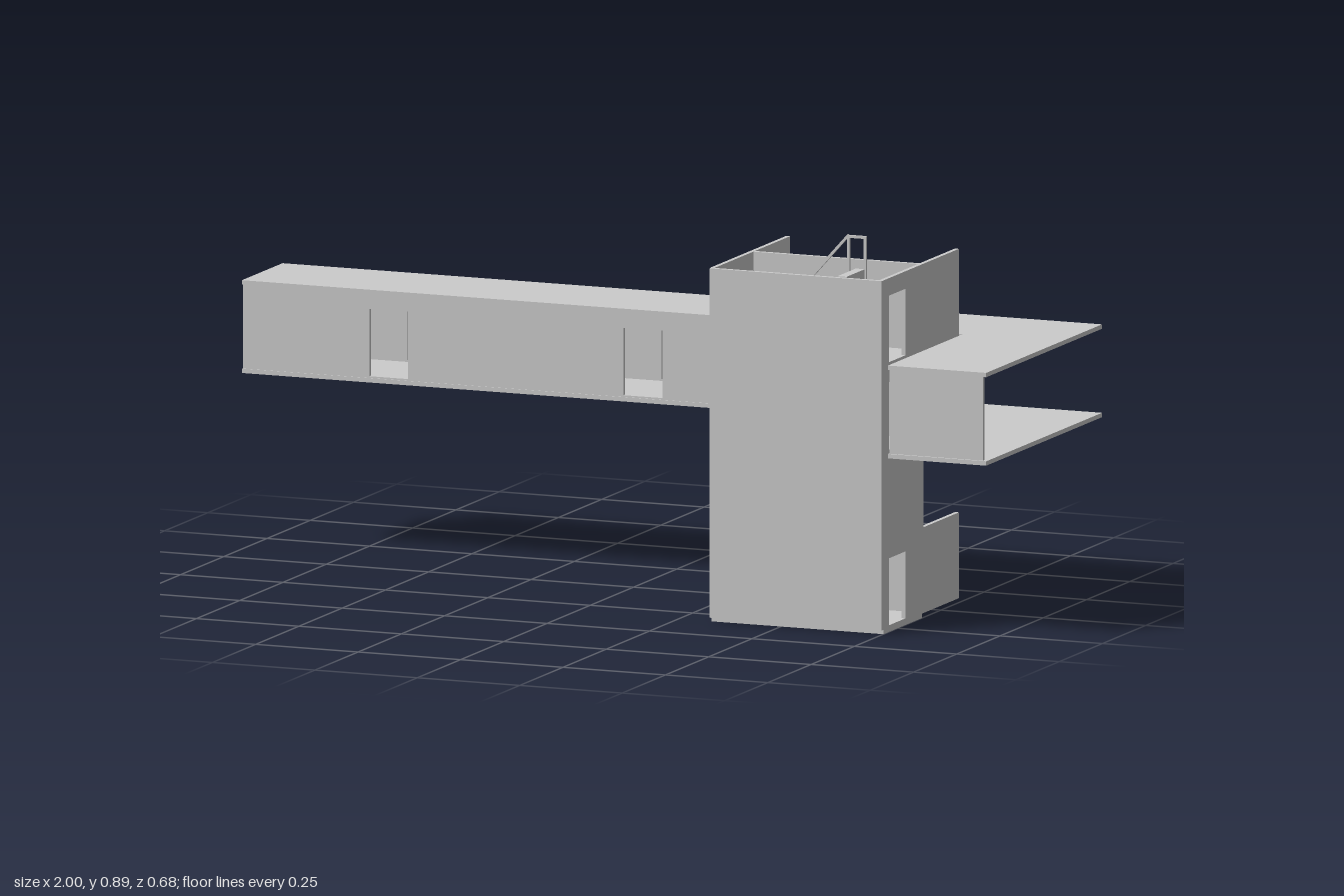
import * as THREE from 'three';

const material = new THREE.MeshStandardMaterial({ color: 0xcccccc, flatShading: true, side: THREE.DoubleSide });
const T = 0.01; // wall thickness

function add(parent, name, geometry) {
  const mesh = new THREE.Mesh(geometry, material);
  mesh.name = name;
  parent.add(mesh);
  return mesh;
}

// Box given by its minimum and maximum on each axis
function block(parent, name, x0, x1, y0, y1, z0, z1) {
  const g = new THREE.BoxGeometry(x1 - x0, y1 - y0, z1 - z0);
  g.translate((x0 + x1) / 2, (y0 + y1) / 2, (z0 + z1) / 2);
  return add(parent, name, g);
}

const rect = (a0, a1, b0, b1) => [[a0, b0], [a1, b0], [a1, b1], [a0, b1]];
const points = (list) => list.map(([a, b]) => new THREE.Vector2(a, b));

// Flat panel from an outline with rectangular holes
function panel(outline, holes = []) {
  const shape = new THREE.Shape(points(outline));
  for (const h of holes) shape.holes.push(new THREE.Path(points(h)));
  return new THREE.ExtrudeGeometry(shape, { depth: T, bevelEnabled: false });
}

// Straight rail between two points
function rail(parent, a, b) {
  const p = new THREE.Vector3(...a), q = new THREE.Vector3(...b);
  const g = new THREE.BoxGeometry(0.006, 0.006, p.distanceTo(q));
  const mesh = add(parent, 'handrail', g);
  mesh.position.copy(p).add(q).multiplyScalar(0.5);
  mesh.lookAt(q);
}

// One flight of solid zigzag steps rising by 0.2 towards +x or -x
function flight(parent, xStart, xEnd, y, z0, z1) {
  const n = 10, run = (xEnd - xStart) / n, rise = 0.2 / n;
  const outline = [[xStart, y]];
  for (let i = 0; i < n; i++) {
    outline.push([xStart + i * run, y + (i + 1) * rise], [xStart + (i + 1) * run, y + (i + 1) * rise]);
  }
  outline.push([xEnd, y + 0.2 - 2 * rise], [xStart + run * 1.2, y]);
  const g = new THREE.ExtrudeGeometry(new THREE.Shape(points(outline)), { depth: z1 - z0, bevelEnabled: false });
  g.translate(0, 0, z0);
  add(parent, 'stairFlight', g);
}

function buildGallery() {
  const gallery = new THREE.Group();
  gallery.name = 'gallery';

  // L-shaped floor and roof slabs
  const plan = [[-1, -0.34], [1, -0.34], [1, 0.33], [0.76, 0.33], [0.76, -0.105], [-1, -0.105]];
  for (const [name, top] of [['galleryFloor', 0.412], ['galleryRoof', 0.614]]) {
    const g = panel(plan);
    g.rotateX(Math.PI / 2);
    g.translate(0, top, 0);
    add(gallery, name, g);
  }

  // Long walls with two facing doorways each
  const doors = [rect(-0.69, -0.595, 0.416, 0.57), rect(-0.07, 0.025, 0.416, 0.57)];
  for (const [name, z] of [['galleryBackWall', -0.338], ['galleryFrontWall', -0.117]]) {
    const g = panel(rect(-0.998, 0.335, 0.41, 0.606), doors);
    g.translate(0, 0, z);
    add(gallery, name, g);
  }

  // Closed ends
  block(gallery, 'galleryEndWall', -0.998, -0.988, 0.41, 0.606, -0.338, -0.107);
  block(gallery, 'shortWingEndWall', 0.762, 0.99, 0.41, 0.606, 0.315, 0.325);
  return gallery;
}

function buildTower() {
  const tower = new THREE.Group();
  tower.name = 'tower';
  block(tower, 'towerFrontWall', 0.33, 0.75, 0.01, 0.808, 0.332, 0.342);
  block(tower, 'towerOuterWall', 0.328, 0.338, 0.01, 0.808, -0.105, 0.332);
  block(tower, 'stairwellBackWall', 0.338, 0.74, 0.01, 0.808, 0.098, 0.108);
  block(tower, 'towerBase', 0.33, 0.75, 0, 0.012, 0.108, 0.332);

  // Side wall: notch beneath the gallery and a doorway on three levels
  const outline = [[-0.105, 0.01], [0.332, 0.01], [0.332, 0.808], [-0.105, 0.808],
    [-0.105, 0.402], [0.1, 0.402], [0.1, 0.206], [-0.105, 0.206]];
  const doors = [[0.015, 0.168], [0.416, 0.57], [0.616, 0.768]].map(([a, b]) => rect(0.205, 0.3, a, b));
  const side = panel(outline, doors);
  side.rotateY(-Math.PI / 2);
  side.translate(0.75, 0, 0);
  add(tower, 'towerSideWall', side);
  return tower;
}

function buildStairs() {
  const stairs = new THREE.Group();
  stairs.name = 'stairs';
  for (const y of [0.01, 0.41]) {
    // Back lane up to the half landing, front lane up to the next floor
    flight(stairs, 0.66, 0.44, y, 0.108, 0.212);
    flight(stairs, 0.44, 0.66, y + 0.2, 0.226, 0.332);
    block(stairs, 'halfLanding', 0.338, 0.44, y + 0.19, y + 0.2, 0.108, 0.332);
    rail(stairs, [0.66, y + 0.08, 0.216], [0.44, y + 0.275, 0.216]);
    rail(stairs, [0.44, y + 0.275, 0.224], [0.62, y + 0.475, 0.224]);
    rail(stairs, [0.62, y + 0.472, 0.224], [0.66, y + 0.472, 0.224]);
    for (const x of [0.62, 0.66]) rail(stairs, [x, y + 0.36, 0.224], [x, y + 0.475, 0.224]);
  }
  block(stairs, 'floorLanding', 0.66, 0.74, 0.4, 0.41, 0.108, 0.332);
  block(stairs, 'upperDoorLanding', 0.66, 0.74, 0.602, 0.612, 0.108, 0.332);
  return stairs;
}

export function createModel() {
  const model = new THREE.Group();
  model.name = 'building';
  model.add(buildGallery(), buildTower(), buildStairs());
  return model;
}
